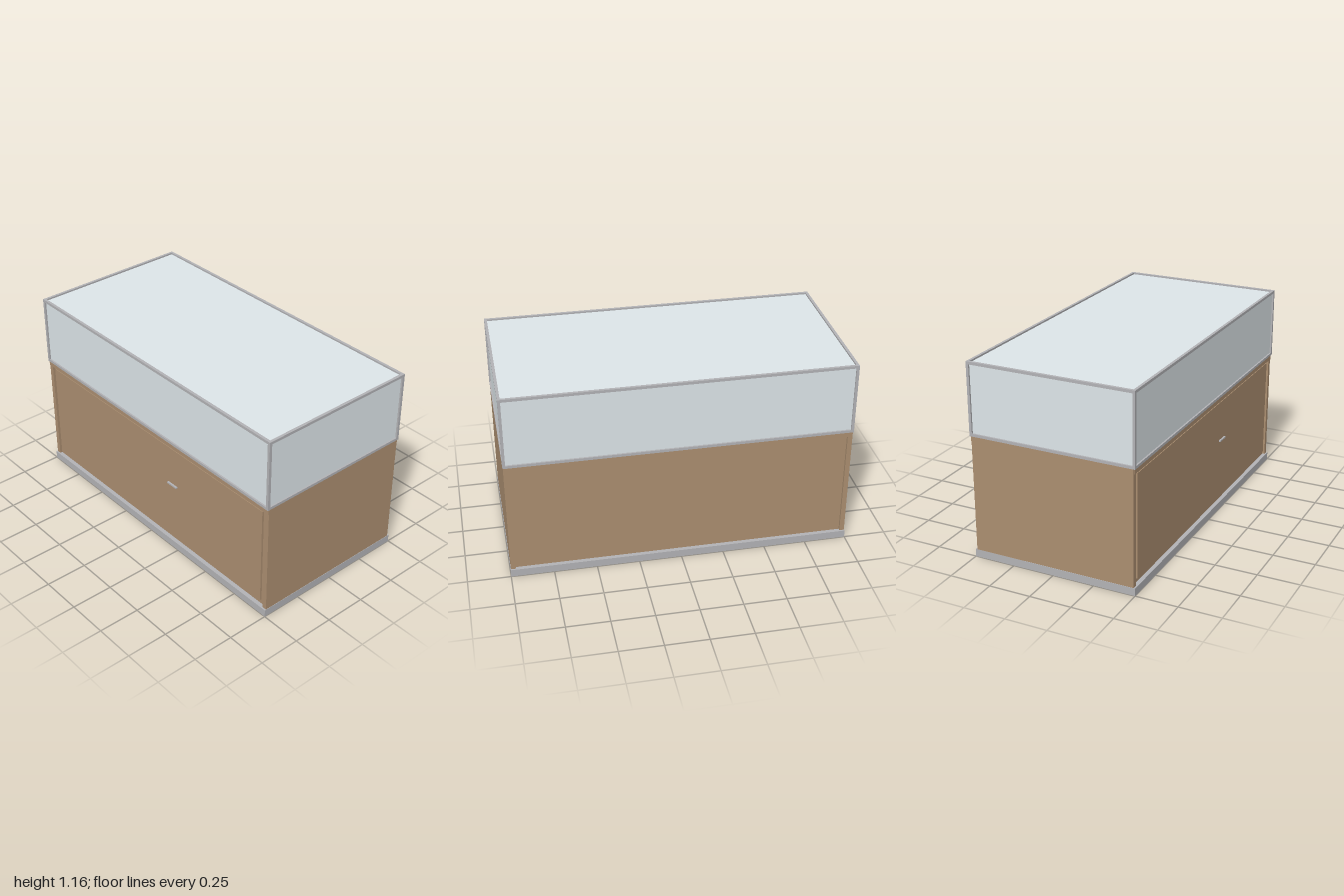
import * as THREE from 'three';

const material = (color) => new THREE.MeshStandardMaterial({ color });

export function createModel() {
  const model = new THREE.Group();
  const wood = material(0xab8e70);
  const metal = material(0xb3b3b6);
  const glass = material(0xdde6e9);

  // Box given by its lower and upper corners
  function box(name, mat, [x0, y0, z0], [x1, y1, z1]) {
    const mesh = new THREE.Mesh(new THREE.BoxGeometry(x1 - x0, y1 - y0, z1 - z0), mat);
    mesh.position.set((x0 + x1) / 2, (y0 + y1) / 2, (z0 + z1) / 2);
    mesh.name = name;
    model.add(mesh);
  }
  // Same box mirrored to the other side in x or z
  function pair(name, mat, [x0, y0, z0], [x1, y1, z1], axis) {
    box(name, mat, [x0, y0, z0], [x1, y1, z1]);
    if (axis === 'x') box(name, mat, [-x1, y0, z0], [-x0, y1, z1]);
    else box(name, mat, [x0, y0, -z1], [x1, y1, -z0]);
  }

  const base = 0.045, deck = 0.735, top = 1.165, bar = 0.016;

  // Plinth
  box('plinth', metal, [-1, 0, -0.5], [1, base, 0.5]);

  // Cabinet carcass
  pair('sidePanel', wood, [0.97, base, -0.49], [0.998, deck, 0.49], 'x');
  box('cabinetFloor', wood, [-0.97, base, -0.475], [0.97, 0.06, 0.475]);
  box('cabinetTop', wood, [-0.97, 0.705, -0.49], [0.97, deck, 0.49]);
  pair('topRail', wood, [-0.995, 0.705, 0.49], [0.995, deck, 0.495], 'z');
  pair('recessedPanel', wood, [-0.97, base, 0.46], [0.97, 0.705, 0.475], 'z');

  // Door panel standing proud of the recess, with its handle
  box('door', wood, [-0.945, 0.075, 0.475], [0.945, 0.692, 0.487]);
  box('handle', metal, [0.16, 0.442, 0.487], [0.24, 0.451, 0.498]);

  // Glass case
  const gx = 0.99, gz = 0.49, t = 0.008;
  pair('longGlass', glass, [-gx, deck, gz - t], [gx, top - 0.01, gz], 'z');
  pair('endGlass', glass, [gx - t, deck, -gz + t], [gx, top - 0.01, gz - t], 'x');
  box('topGlass', glass, [-gx + t, top - 0.01 - t, -gz + t], [gx - t, top - 0.01, gz - t]);

  // Metal frame: corner posts, then bars along the lower and upper edges
  for (const z of [-0.5, 0.5 - bar]) {
    pair('cornerPost', metal, [1 - bar, deck, z], [1, top, z + bar], 'x');
  }
  for (const y of [deck, top - bar]) {
    pair('longBar', metal, [-1 + bar, y, 0.5 - bar], [1 - bar, y + bar, 0.5], 'z');
    pair('endBar', metal, [1 - bar, y, -0.5 + bar], [1, y + bar, 0.5 - bar], 'x');
  }

  return model;
}
